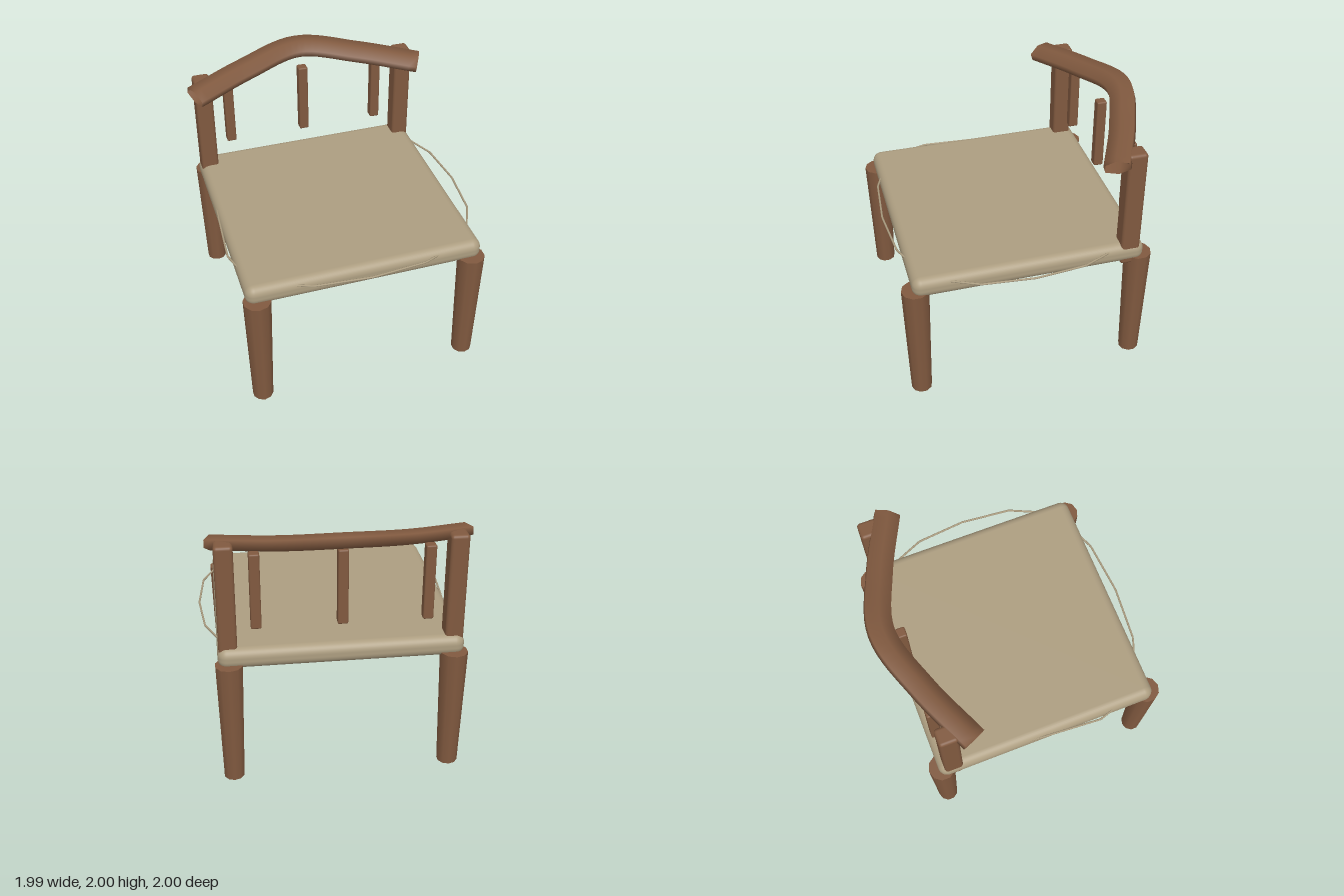
import * as THREE from 'three';
import { RoundedBoxGeometry } from 'three/addons/geometries/RoundedBoxGeometry.js';

const wood = new THREE.MeshStandardMaterial({ color: 0x80593f });
const woodOpen = new THREE.MeshStandardMaterial({ color: 0x80593f, side: THREE.DoubleSide });
const fabric = new THREE.MeshStandardMaterial({ color: 0xac9d80 });
const MID = -0.04; // the chair's mirror plane in x

function part(group, name, geometry, material, x = 0, y = 0, z = 0) {
  const mesh = new THREE.Mesh(geometry, material);
  mesh.name = name;
  mesh.position.set(x, y, z);
  group.add(mesh);
  return mesh;
}

// Flattened hexagonal tube swept along an arched curve lying in a tilted plane
function railGeometry() {
  const curve = new THREE.CatmullRomCurve3([
    [-0.92, 1.826, -0.565], [-0.46, 1.885, -0.775], [0, 1.94, -0.908],
    [0.46, 1.885, -0.775], [0.92, 1.826, -0.565],
  ].map((p) => new THREE.Vector3(...p)));
  const steps = 32, sides = 6;
  const up = new THREE.Vector3(0, 0.95, 0.31).normalize();
  const positions = [], index = [];
  for (let i = 0; i <= steps; i++) {
    const p = curve.getPoint(i / steps);
    const out = new THREE.Vector3().crossVectors(up, curve.getTangent(i / steps)).normalize();
    for (let j = 0; j < sides; j++) {
      const a = Math.PI / 6 + (j / sides) * Math.PI * 2;
      const v = p.clone().addScaledVector(out, Math.cos(a) * 0.108).addScaledVector(up, Math.sin(a) * 0.056);
      positions.push(v.x, v.y, v.z);
      if (i < steps) {
        const k = (j + 1) % sides;
        const a0 = i * sides + j, b0 = i * sides + k;
        index.push(a0, a0 + sides, b0, b0, a0 + sides, b0 + sides);
      }
    }
  }
  const g = new THREE.BufferGeometry();
  g.setAttribute('position', new THREE.Float32BufferAttribute(positions, 3));
  // outward winding: sections run from out (-+z) towards up
  for (let i = 0; i < index.length; i += 3) [index[i + 1], index[i + 2]] = [index[i + 2], index[i + 1]];
  const probe = [0, 1, 2].map((n) => new THREE.Vector3().fromArray(positions, index[n] * 3));
  const normal = probe[1].clone().sub(probe[0]).cross(probe[2].clone().sub(probe[0]));
  if (normal.dot(probe[0].clone().sub(curve.getPoint(0))) < 0) index.reverse();
  g.setIndex(index);
  g.computeVertexNormals();
  return g;
}

// Thin cord bowing out of the seat edge, made of straight runs
function cordGeometry(points) {
  const path = new THREE.CurvePath();
  const v = points.map(([x, z]) => new THREE.Vector3(x, 1.053, z));
  for (let i = 1; i < v.length; i++) path.add(new THREE.LineCurve3(v[i - 1], v[i]));
  return new THREE.TubeGeometry(path, 40, 0.008, 6, false);
}

export function createModel() {
  const chair = new THREE.Group();
  chair.name = 'chair';

  // Cushioned seat
  part(chair, 'seat', new RoundedBoxGeometry(1.82, 0.162, 1.77, 5, 0.07), fabric, MID, 1.014, 0.035);

  // Tapered legs, back posts
  for (const side of [-1, 1]) {
    const name = side > 0 ? 'left' : 'right';
    for (const [end, z] of [['Front', 0.893], ['Back', -0.82]]) {
      part(chair, name + end + 'Leg', new THREE.CylinderGeometry(0.104, 0.079, 0.972, 10), wood,
        MID + side * 0.83, 0.486, z);
    }
    part(chair, name + 'BackPost', new RoundedBoxGeometry(0.137, 0.968, 0.146, 3, 0.025), wood,
      MID + side * 0.832, 1.402, -0.735);
  }

  // Spindles
  for (const i of [-1, 0, 1]) {
    part(chair, 'spindle', new RoundedBoxGeometry(0.077, 0.58, 0.077, 2, 0.012), wood,
      MID + i * 0.623, 1.536, -0.779);
  }

  // Curved top rail
  part(chair, 'topRail', railGeometry(), woodOpen, MID);

  // Edge cords on the front and both sides
  part(chair, 'frontCord', cordGeometry([[-0.62, 0.89], [-0.46, 0.952], [-0.03, 0.988], [0.4, 0.952], [0.55, 0.89]]), fabric);
  part(chair, 'leftCord', cordGeometry([[0.84, -0.6], [0.95, -0.35], [0.988, 0.04], [0.95, 0.44], [0.84, 0.68]]), fabric);
  part(chair, 'rightCord', cordGeometry([[-0.93, -0.2], [-0.95, 0], [-0.98, 0.45], [-0.92, 0.64]]), fabric);

  return chair;
}
